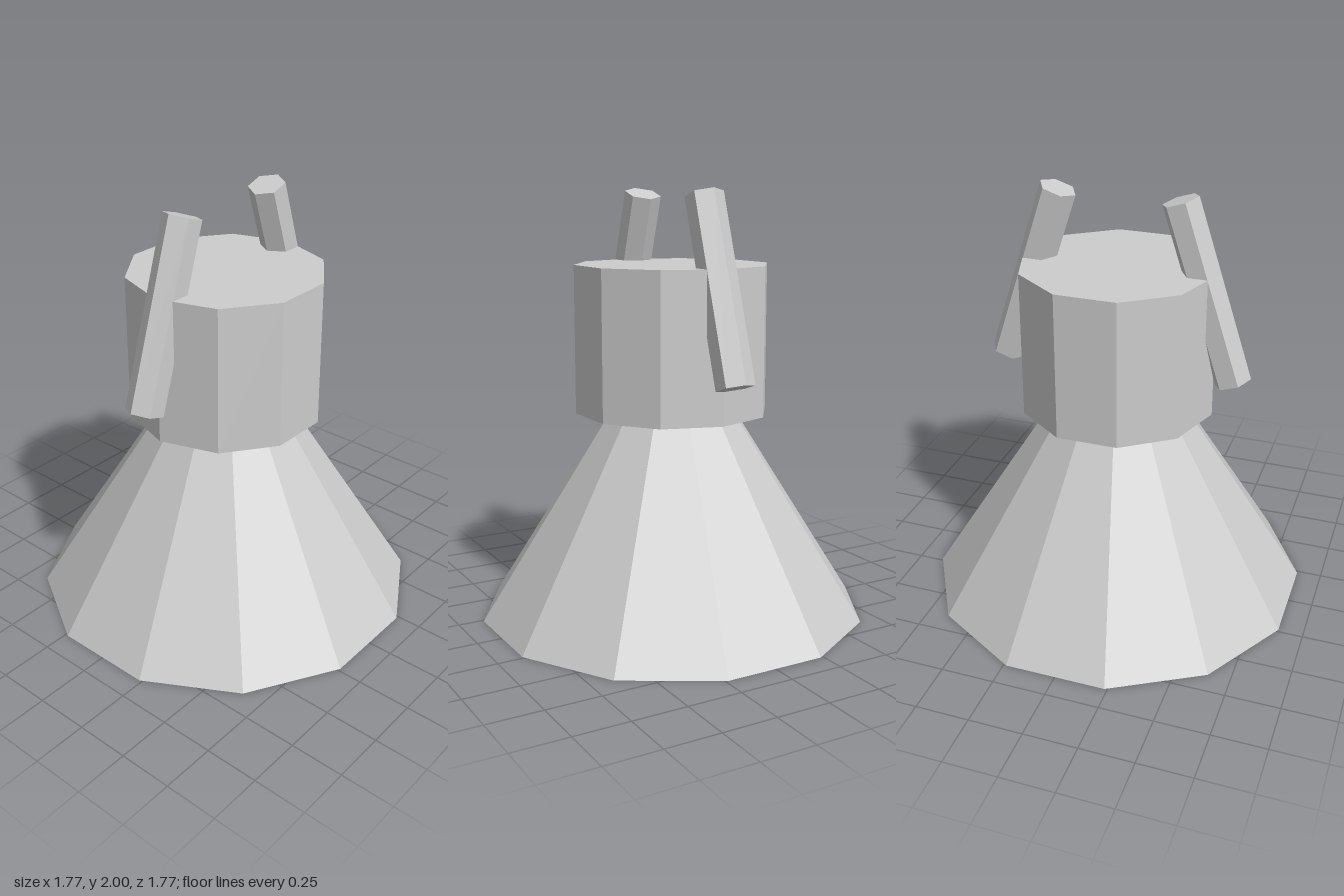
import * as THREE from 'three';

export function createModel() {
  const group = new THREE.Group();
  const grey = new THREE.MeshStandardMaterial({ color: 0xcccccc, flatShading: true });
  grey.name = 'light grey';

  // Upright faceted cylinder or cone between two heights, turned about its axis
  function prism(name, rTop, rBottom, y0, y1, sides, turn) {
    const geometry = new THREE.CylinderGeometry(rTop, rBottom, y1 - y0, sides);
    geometry.rotateY(turn);
    const mesh = new THREE.Mesh(geometry, grey);
    mesh.name = name;
    mesh.position.y = (y0 + y1) / 2;
    group.add(mesh);
    return mesh;
  }

  // Twelve-sided conical base, its tip hidden in the drum
  prism('base', 0, 0.914, 0, 1.44, 12, Math.PI / 12);

  // Ten-sided drum with corners on the x axis
  prism('drum', 0.457, 0.457, 0.967, 1.655, 10, Math.PI / 10);

  // Hexagonal rods leaning inward through the drum's sides
  for (const side of [1, -1]) {
    const rod = prism(side > 0 ? 'leftRod' : 'rightRod', 0.087, 0.087, 1.13, 1.995, 6, Math.PI / 6);
    rod.position.x = side * 0.415;
    rod.rotation.z = side * 0.314;
  }

  return group;
}
